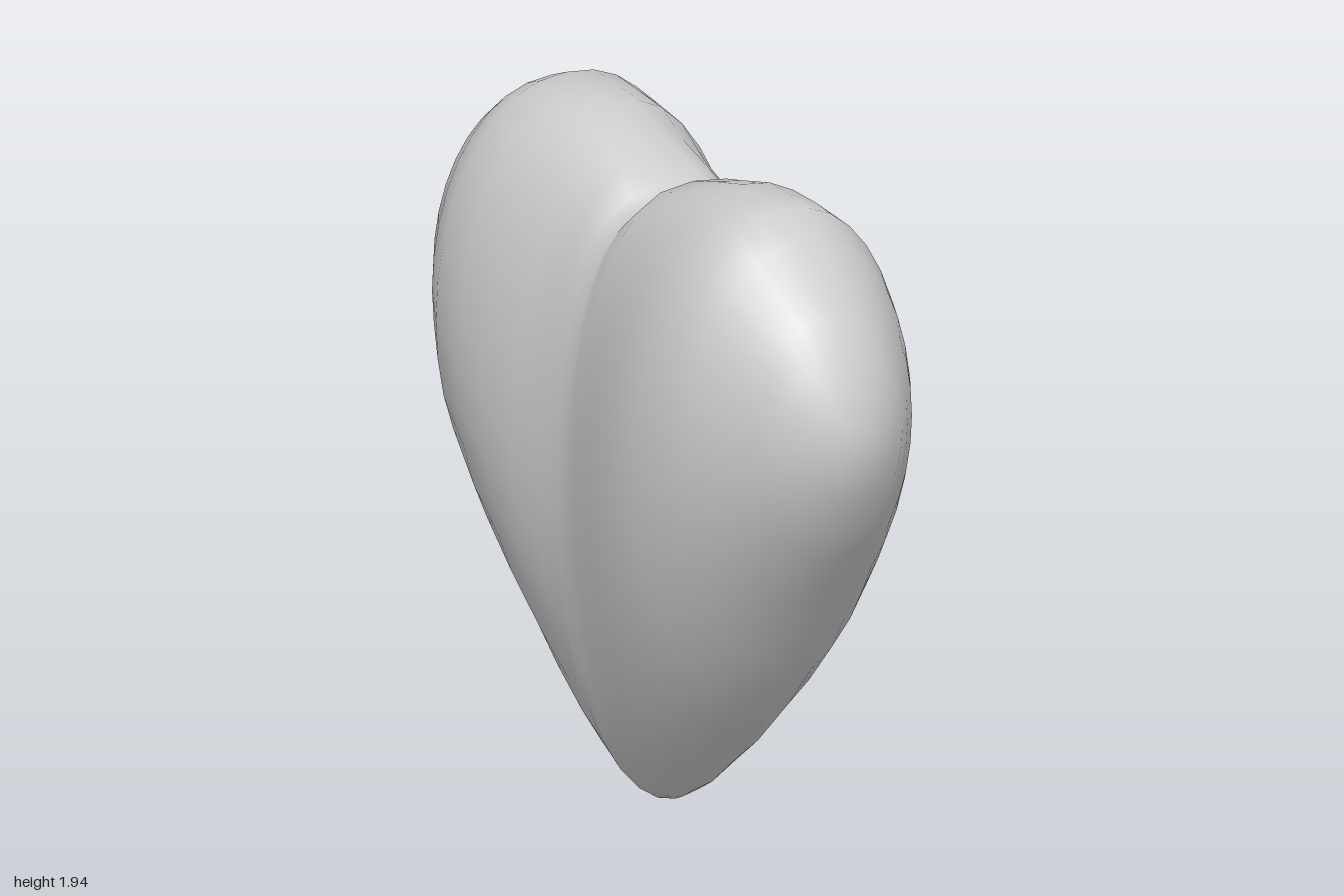
import * as THREE from 'three';

// Heart slices from front lobe to back lobe: [z, top, bottom, half thickness]
const SLICES = [
  [0.995, 1.44, 1.29, 0.06], [0.97, 1.53, 1.21, 0.12], [0.92, 1.63, 1.10, 0.19],
  [0.86, 1.72, 1.0, 0.24], [0.77, 1.8, 0.87, 0.305], [0.68, 1.875, 0.74, 0.355],
  [0.6, 1.94, 0.62, 0.385], [0.5, 1.94, 0.48, 0.41], [0.37, 1.935, 0.33, 0.42],
  [0.22, 1.89, 0.17, 0.395], [0.1, 1.85, 0.06, 0.37], [0.04, 1.79, 0.02, 0.36],
  [0, 1.75, 0, 0.358],
  [-0.04, 1.79, 0.02, 0.36], [-0.11, 1.84, 0.06, 0.365], [-0.22, 1.88, 0.17, 0.385],
  [-0.35, 1.925, 0.32, 0.41], [-0.48, 1.925, 0.46, 0.415], [-0.6, 1.925, 0.62, 0.41],
  [-0.7, 1.88, 0.76, 0.375], [-0.8, 1.81, 0.88, 0.325], [-0.88, 1.73, 1.02, 0.265],
  [-0.94, 1.62, 1.14, 0.2], [-0.975, 1.54, 1.24, 0.13], [-0.995, 1.45, 1.31, 0.06],
];
const SIDES = 36;

function heartGeometry() {
  const positions = [];
  const index = [];

  // Oval ring per slice: flat-floored cleft on top, slightly pinched point below
  for (const [z, top, bottom, width] of SLICES) {
    const middle = (top + bottom) / 2;
    const half = (top - bottom) / 2;
    const nearCleft = Math.exp(-((z / 0.14) ** 2));
    const topPower = 0.9 - 0.28 * nearCleft;
    const bottomPower = 1 + 0.08 * nearCleft;
    // The back lobe leans a little to the left
    const lean = 0.1 * Math.max(0, -z - 0.6);
    for (let j = 0; j < SIDES; j++) {
      const a = (j / SIDES) * Math.PI * 2;
      const s = Math.sin(a);
      const c = Math.cos(a);
      const x = Math.sign(s) * Math.abs(s) ** (c > 0 ? topPower : bottomPower) * width;
      positions.push(x + lean, middle + half * c, z);
    }
  }

  // Skin between neighbouring rings
  const at = (i, j) => i * SIDES + (j % SIDES);
  const last = SLICES.length - 1;
  for (let i = 0; i < last; i++) {
    for (let j = 0; j < SIDES; j++) {
      const a = at(i, j), b = at(i, j + 1), c = at(i + 1, j), d = at(i + 1, j + 1);
      index.push(a, b, c, b, d, c);
    }
  }

  // Rounded ends of the two lobes
  const front = positions.length / 3;
  positions.push(0, 1.37, 1, 0.04, 1.38, -1);
  for (let j = 0; j < SIDES; j++) {
    index.push(front, at(0, j + 1), at(0, j));
    index.push(front + 1, at(last, j), at(last, j + 1));
  }

  const geometry = new THREE.BufferGeometry();
  geometry.setAttribute('position', new THREE.Float32BufferAttribute(positions, 3));
  geometry.setIndex(index);
  geometry.computeVertexNormals();
  return geometry;
}

export function createModel() {
  const group = new THREE.Group();
  group.name = 'heart';
  const body = new THREE.Mesh(
    heartGeometry(),
    new THREE.MeshStandardMaterial({ color: 0xcccccc }),
  );
  body.name = 'heartBody';
  group.add(body);
  return group;
}
